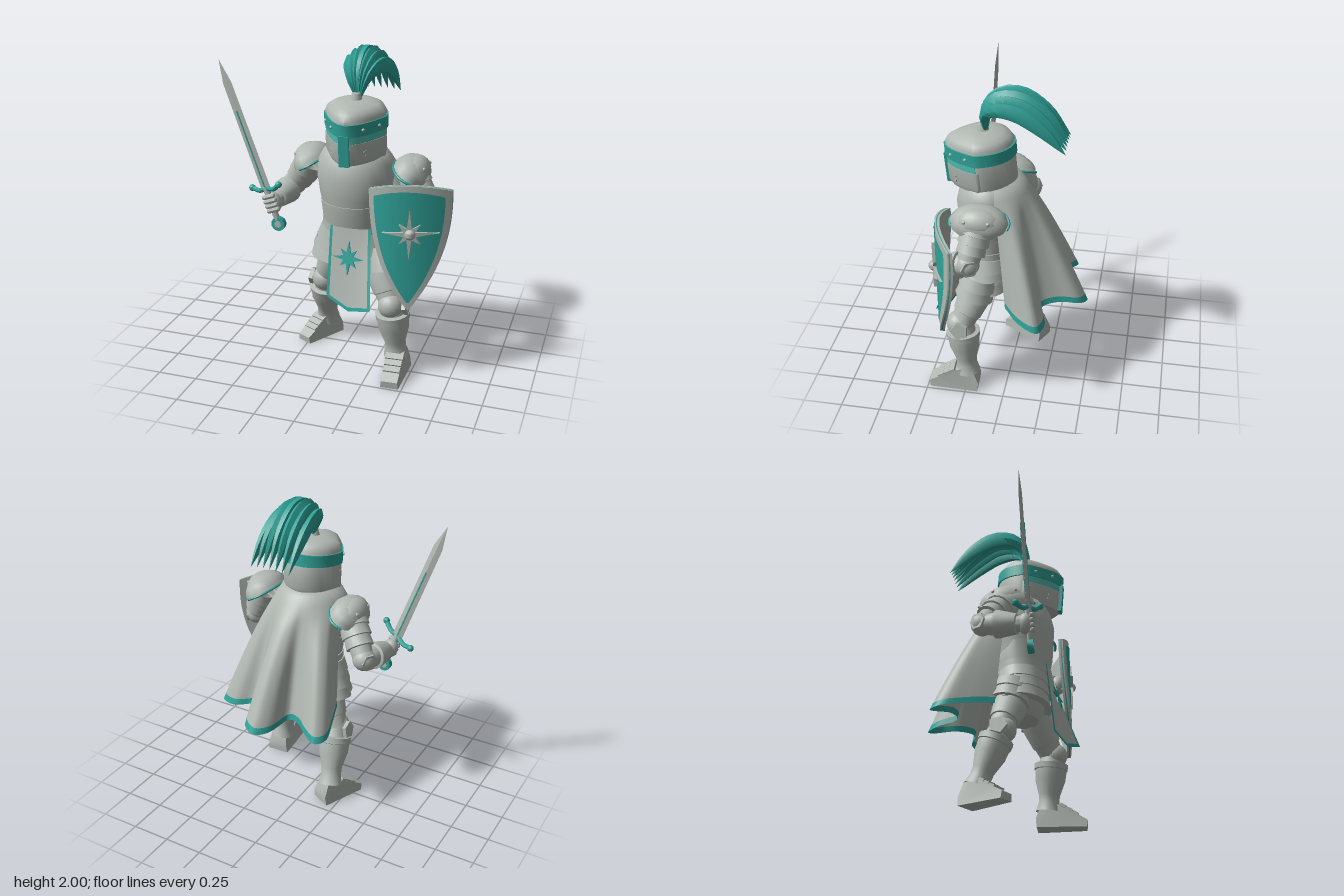
import * as THREE from 'three';
import { toCreasedNormals } from 'three/addons/utils/BufferGeometryUtils.js';
import { ParametricGeometry } from 'three/addons/geometries/ParametricGeometry.js';

function material(name, color) {
  const m = new THREE.MeshStandardMaterial({ color, side: THREE.DoubleSide });
  m.name = name;
  return m;
}
const steel = material('steel grey', 0xb1b8b2);
const teal = material('teal', 0x2fa298);
const lightTeal = material('light teal', 0x52bcae);

const V = (x, y, z) => new THREE.Vector3(x, y, z);
const lerp = THREE.MathUtils.lerp;
const UP = V(0, 1, 0);

function add(parent, name, geo, mat, pos = [0, 0, 0], rot = [0, 0, 0], scale = [1, 1, 1]) {
  const m = new THREE.Mesh(toCreasedNormals(geo, 0.7), mat);
  m.name = name;
  m.position.set(...pos); m.rotation.set(...rot); m.scale.set(...scale);
  parent.add(m);
  return m;
}
function group(parent, name, pos = [0, 0, 0], rot = [0, 0, 0]) {
  const g = new THREE.Group();
  g.name = name;
  g.position.set(...pos); g.rotation.set(...rot);
  parent.add(g);
  return g;
}
const box = (x, y, z) => new THREE.BoxGeometry(x, y, z);
const ball = r => new THREE.SphereGeometry(r, 16, 12);
const sheet = (fn, nu, nv) => new ParametricGeometry((u, v, t) => t.copy(fn(u, v)), nu, nv);

// Closed oval body from rings [y, half width, front depth, back depth]; wedge gives a pointed front
function loft(rings, wedge = false) {
  const first = rings[0], last = rings[rings.length - 1];
  const all = [[first[0], 0, 0, 0], ...rings, [last[0], 0, 0, 0]];
  return sheet((u, v) => {
    const [y, rx, rf, rb = rf] = all[Math.round(v * (all.length - 1))];
    const a = -u * Math.PI * 2, c = Math.cos(a), s = Math.sin(a);
    const z = s < 0 ? s * rb : (wedge ? 1 - Math.abs(c) ** 1.85 : s) * rf;
    return V(c * rx, y, z);
  }, 32, all.length - 1);
}
// Turned part between two points, profile as [fraction of length, radius]
function limb(parent, name, a, b, profile) {
  const A = V(...a), d = V(...b).sub(A), L = d.length();
  const m = add(parent, name, new THREE.LatheGeometry(profile.map(([t, r]) => new THREE.Vector2(r, t * L)), 18), steel, a);
  m.quaternion.setFromUnitVectors(UP, d.normalize());
}
function starGeometry(R, r, inner, depth) {
  const s = new THREE.Shape();
  for (let i = 0; i < 16; i++) {
    const q = i % 2 ? inner : i % 4 ? r : R, a = i * Math.PI / 8;
    s[i ? 'lineTo' : 'moveTo'](q * Math.cos(a), q * Math.sin(a));
  }
  return new THREE.ExtrudeGeometry(s, { depth, bevelEnabled: false });
}

function buildHelmet(root) {
  const g = group(root, 'helmet', [0.11, 1.508, 0.187], [0.09, 0, 0]);
  add(g, 'helmetShell', loft([[-0.125, 0.178, 0.195, 0.195], [-0.1, 0.185, 0.208], [0.14, 0.185, 0.208],
    [0.172, 0.17, 0.185], [0.192, 0.14, 0.145], [0.206, 0.07, 0.08]], true), steel);
  add(g, 'helmetBand', loft([[0.05, 0.194, 0.219, 0.218], [0.125, 0.194, 0.219, 0.218]], true), teal);
  add(g, 'eyeSlit', loft([[0.005, 0.187, 0.211, 0.01], [0.05, 0.187, 0.211, 0.01]], true), lightTeal);
  add(g, 'lowerVisor', loft([[-0.13, 0.178, 0.2, 0.08], [-0.1, 0.19, 0.213, 0.08], [0.005, 0.19, 0.213, 0.08]], true), steel);
  add(g, 'noseStrip', box(0.062, 0.19, 0.026), teal, [-0.005, -0.035, 0.209]);
  for (const s of [-1, 1]) {
    for (const [c, z] of [[0.5, 0.158], [0.85, 0.057]]) add(g, 'bandRivet', ball(0.01), steel, [s * c * 0.194, 0.088, z]);
    for (const y of [-0.05, -0.08]) add(g, 'breathHole', box(0.02, 0.01, 0.008), steel, [s * 0.1, y, 0.146], [0, s * 0.7, 0]);
  }
  add(g, 'plumeSocket', new THREE.CylinderGeometry(0.025, 0.04, 0.05, 12), steel, [0, 0.218, -0.03]);
}

// Seven faceted strands fanning out from the socket and pointed at the tips
function buildPlume(root) {
  const g = group(root, 'plume');
  const path = [[0.158, 1.73, 0.12, 0], [0.15, 1.86, 0.45, 0.02], [0.075, 1.94, 0.7, 0.05], [-0.05, 1.95, 0.86, 0.07], [-0.2, 1.85, 0.96, 0.06], [-0.33, 1.67, 1, 0.01]];
  const N = 16, R = 6;
  for (let i = -3; i <= 3; i++) {
    const u = i / 3;
    const curve = new THREE.CatmullRomCurve3(path.map(([z, y, w, drop]) => V(0.117 + u * 0.128 * w, y - drop * u * u, z)));
    const geo = new THREE.TubeGeometry(curve, N, 1, R), p = geo.attributes.position, v = V(0, 0, 0);
    for (let k = 0; k < p.count; k++) {
      const t = Math.floor(k / (R + 1)) / N, c = curve.getPointAt(t);
      const r = Math.max(0.0005, t < 0.45 ? lerp(0.014, 0.05, Math.sin(t / 0.45 * Math.PI / 2)) : 0.05 * (1 - ((t - 0.45) / 0.55) ** 2.4));
      v.fromBufferAttribute(p, k).sub(c).multiplyScalar(r);
      p.setXYZ(k, c.x + v.x * 0.6, c.y + v.y, c.z + v.z);
    }
    add(g, 'plumeStrand', geo, teal);
  }
}

function buildTorso(root) {
  const g = group(root, 'torso', [0.095, 0, 0.13]);
  add(g, 'breastplate', loft([[0.93, 0.19, 0.165, 0.14], [1.02, 0.195, 0.185, 0.15], [1.12, 0.22, 0.205, 0.17],
    [1.24, 0.238, 0.215, 0.18], [1.33, 0.232, 0.195, 0.17], [1.39, 0.2, 0.165, 0.15], [1.42, 0.14, 0.13, 0.12]]), steel);
  add(g, 'plackart', loft([[0.94, 0.2, 0.178, 0.145], [1.02, 0.207, 0.198, 0.155], [1.08, 0.215, 0.204, 0.1]]), steel);
  add(g, 'neckGuard', loft([[1.34, 0.17, 0.17], [1.43, 0.145, 0.14]]), steel);
  add(g, 'belt', loft([[0.9, 0.207, 0.175, 0.15], [0.955, 0.207, 0.175, 0.15]]), steel);
  for (let i = 0; i < 3; i++) {
    const y = 0.91 - i * 0.07, r = 0.225 + i * 0.018;
    add(g, 'fauldLame', loft([[y - 0.08, r + 0.022, 0.172 + i * 0.006, 0.16], [y, r - 0.01, 0.165, 0.145]]), steel);
  }
  add(g, 'pelvis', loft([[0.61, 0.13, 0.1], [0.68, 0.19, 0.14], [0.8, 0.2, 0.15]]), steel);
}

function buildTabard(root) {
  const g = group(root, 'tabard');
  const patch = (u0, u1, v0, v1) => sheet((a, b) => {
    const u = lerp(u0, u1, a), v = lerp(v0, v1, b);
    return V(lerp(0.115, 0.132, v) + u * lerp(0.128, 0.16, v), 0.95 - v * (0.46 + 0.05 * (1 - Math.abs(u))),
      lerp(0.318, 0.405 + 0.065 * u, v) - 0.02 * u * u * (1 - v));
  }, 8, 8);
  add(g, 'tabardCloth', patch(-0.87, 0.87, 0, 0.955), steel);
  add(g, 'tabardTrimRight', patch(-1, -0.87, 0, 1), teal);
  add(g, 'tabardTrimLeft', patch(0.87, 1, 0, 1), teal);
  add(g, 'tabardHem', patch(-0.87, 0.87, 0.955, 1), teal);
  add(g, 'tabardStar', starGeometry(0.105, 0.075, 0.036, 0.008), teal, [0.12, 0.77, 0.352], [-0.2, -0.16, 0]);
}

// Cape with three deep folds flaring towards the hem
function buildCape(root) {
  const g = group(root, 'cape');
  const hem = new THREE.CatmullRomCurve3([[0.4, 0], [0.52, -0.1], [0.57, -0.22], [0.46, -0.26], [0.34, -0.22], [0.28, -0.32], [0.25, -0.45],
    [0.17, -0.49], [0.09, -0.42], [0.04, -0.27], [-0.04, -0.29], [-0.12, -0.35], [-0.21, -0.39], [-0.26, -0.33], [-0.22, -0.17], [-0.16, 0]].map(([x, z]) => V(x, 0, z)));
  const at = (u, v) => {
    const h = hem.getPoint(u), a = lerp(-0.2, -Math.PI + 0.2, u), c = Math.cos(a), s = Math.sin(a);
    if (v < 0.12) {
      const k = v / 0.12, r = lerp(0.15, 0.235, k);
      return V(0.1 + c * r, 1.41 - 0.1 * k * k, 0.12 + s * r);
    }
    const k = (v - 0.12) / 0.88, f = k ** 0.84;
    return V(lerp(0.1 + c * 0.235, h.x, f), 1.31 - 0.69 * k + 0.02 * k * Math.cos(u * 19), lerp(0.12 + s * 0.235, h.z, f));
  };
  add(g, 'capeCloth', sheet((u, v) => at(u, v * 0.95), 64, 20), steel);
  add(g, 'capeHem', sheet((u, v) => at(u, 0.95 + v * 0.05), 64, 1), teal);
}

function buildShield(root) {
  const g = group(root, 'shield');
  const bend = x => 0.408 - 1.27 * (x - 0.39) ** 2;
  const at = (u, v, inset, off) => {
    const w = Math.max(0, 0.235 * (1 - v ** 2.4) - inset), x = 0.488 + u * w + 0.017 * v;
    return V(x, 1.285 - 0.79 * v - 0.045 * u * u * (1 - v), bend(x) + off);
  };
  for (const off of [0, -0.03]) add(g, off ? 'shieldBack' : 'shieldFront', sheet((u, v) => at(2 * u - 1, v, 0, off), 14, 18), steel);
  // Rim in three layers, the middle one coloured
  for (const [mat, from, to] of [[steel, 0, -0.009], [teal, -0.009, -0.016], [steel, -0.016, -0.03]]) {
    add(g, 'shieldRim', sheet((u, v) => {
      const s = u * 3, o = lerp(from, to, v);
      return s < 1 ? at(-1, 1 - s, 0, o) : s < 2 ? at(2 * s - 3, 0, 0, o) : at(1, s - 2, 0, o);
    }, 54, 1), mat);
  }
  add(g, 'shieldField', sheet((u, v) => at(2 * u - 1, 0.045 + 0.885 * v, 0.033, 0.005), 14, 18), teal);
  // Star bent to follow the curve of the shield
  const star = starGeometry(0.16, 0.085, 0.036, 0.024).translate(0.508, 0.995, 0), p = star.attributes.position;
  for (let i = 0; i < p.count; i++) p.setZ(i, p.getZ(i) + bend(p.getX(i)));
  add(g, 'shieldStar', star, steel);
  add(g, 'shieldBoss', ball(0.034), steel, [0.51, 0.995, 0.405]);
}

function buildSword(root) {
  const g = group(root, 'sword', [-0.45, 1.12, 0.25]);
  g.quaternion.setFromUnitVectors(UP, V(-0.342, 0.94, -0.01).normalize());
  const p = [[0.036, 0], [0.032, 0.69], [0, 0.84]].map(q => new THREE.Vector2(...q));
  add(g, 'blade', new THREE.LatheGeometry(p, 4), steel, [0, 0, 0], [0, -0.2, 0], [1, 1, 0.35]);
  for (const s of [-1, 1]) add(g, 'bladeInlay', box(0.008, 0.5, 0.006), teal, [0, 0.26, s * 0.011], [0, -0.2, 0]);
  add(g, 'grip', new THREE.CylinderGeometry(0.02, 0.02, 0.22, 10), steel, [0, -0.1, 0]);
  add(g, 'pommel', new THREE.CylinderGeometry(0.044, 0.044, 0.035, 16), teal, [0, -0.236, 0], [Math.PI / 2, 0, 0]);
  add(g, 'pommelDisc', new THREE.CylinderGeometry(0.022, 0.022, 0.043, 12), steel, [0, -0.236, 0], [Math.PI / 2, 0, 0]);
  const guard = new THREE.CatmullRomCurve3([V(-0.12, 0.015, -0.06), V(-0.06, -0.01, -0.03), V(0, 0, 0), V(0.06, -0.01, 0.03), V(0.12, 0.015, 0.06)]);
  add(g, 'crossGuard', new THREE.TubeGeometry(guard, 16, 0.015, 8), teal);
  for (const s of [-1, 1]) add(g, 'guardEnd', ball(0.021), teal, [s * 0.12, 0.015, s * 0.06]);
}

// side: -1 for the model's right, 1 for its left
function buildArm(root, side, shoulder, elbow, hand) {
  const g = group(root, side < 0 ? 'rightArm' : 'leftArm');
  limb(g, 'upperArm', shoulder, elbow, [[0, 0.09], [0.3, 0.1], [0.31, 0.09], [0.52, 0.095], [0.53, 0.083], [0.74, 0.088], [0.75, 0.07], [1, 0.065]]);
  add(g, 'elbowCap', ball(0.072), steel, elbow);
  add(g, 'elbowWing', new THREE.CylinderGeometry(0.055, 0.055, 0.025, 6), steel, [elbow[0] + side * 0.045, elbow[1], elbow[2] - 0.02], [0, side * 0.5, Math.PI / 2]);
  limb(g, 'forearm', elbow, hand, [[0, 0.06], [0.3, 0.07], [0.32, 0.086], [0.38, 0.086], [0.8, 0.062], [0.82, 0.05], [1, 0.045]]);
  const h = group(g, 'gauntlet', hand, [0, 0, side < 0 ? 0.35 : 0]);
  add(h, 'palm', ball(0.055), steel, [0, 0, 0], [0, 0, 0], [0.95, 1.2, 0.9]);
  for (let i = 0; i < 4; i++) add(h, 'finger', new THREE.CapsuleGeometry(0.016, 0.06, 4, 8), steel, [0, 0.048 - i * 0.03, 0.04], [0, 0, Math.PI / 2]);

  // Shoulder plates, trimmed along the edge nearest the neck
  const s = group(g, 'pauldron', [shoulder[0] - side * 0.005, shoulder[1] - 0.01, shoulder[2]], [0, 0, -side * 0.5]);
  const dome = r => new THREE.SphereGeometry(r, 12, 6, 0, Math.PI * 2, 0, Math.PI / 2);
  add(s, 'pauldronDome', dome(1), steel, [0, 0, 0], [0, 0, 0], [0.118, 0.112, 0.175]);
  add(s, 'pauldronPlate', dome(1), steel, [side * 0.012, 0.035, 0], [0, 0, 0], [0.088, 0.086, 0.135]);
  const trim = new THREE.TorusGeometry(1, 0.05, 6, 22, Math.PI * 1.2).rotateZ((side > 0 ? Math.PI : 0) - Math.PI * 0.6);
  add(s, 'pauldronTrim', trim, teal, [0, 0, 0], [Math.PI / 2, 0, 0], [0.118, 0.175, 0.15]);
  for (const z of [-0.07, 0.07]) add(s, 'pauldronRivet', ball(0.012), steel, [side * 0.055, 0.09, z]);
}

function buildLeg(root, side, hip, knee, ankle, foot, yaw, size) {
  const g = group(root, side < 0 ? 'rightLeg' : 'leftLeg');
  limb(g, 'thigh', hip, knee, [[0, 0.1], [0.4, 0.104], [0.75, 0.09], [0.76, 0.082], [1, 0.072]]);
  const out = [hip[0] + side * 0.05, hip[1] + 0.06, hip[2]], low = [lerp(out[0], knee[0], 0.35), lerp(out[1], knee[1], 0.42), lerp(out[2], knee[2], 0.35)];
  limb(g, 'tasset', out, low, [[0, 0.105], [0.5, 0.12], [0.51, 0.11], [1, 0.122], [1, 0.1]]);
  add(g, 'kneeCap', ball(0.08), steel, [knee[0], knee[1], knee[2] + 0.02]);
  add(g, 'kneeWing', new THREE.CylinderGeometry(0.058, 0.058, 0.025, 5), steel, [knee[0] + side * 0.088, knee[1], knee[2]], [0, 0, Math.PI / 2 + side * 0.15]);
  limb(g, 'greave', ankle, knee, [[-0.12, 0.08], [0.06, 0.065], [0.2, 0.067], [0.5, 0.096], [0.7, 0.1], [0.71, 0.106], [0.82, 0.108], [0.83, 0.08], [1, 0.07]]);

  // Armoured shoe, narrowing towards the toe
  const f = group(g, 'shoe', foot, [0, yaw, 0]);
  f.scale.setScalar(size);
  const pts = [[-0.15, 0], [0.16, 0], [0.165, 0.045], [0.09, 0.09], [0.02, 0.135], [-0.04, 0.155], [-0.12, 0.145], [-0.155, 0.06]];
  const geo = new THREE.ExtrudeGeometry(new THREE.Shape(pts.map(q => new THREE.Vector2(...q))), { depth: 0.15, bevelEnabled: false });
  geo.translate(0, 0, -0.075).rotateY(-Math.PI / 2);
  const p = geo.attributes.position;
  for (let i = 0; i < p.count; i++) p.setX(i, p.getX(i) * (1 - Math.max(0, p.getZ(i)) * 1.6) * (1 - p.getY(i) * 2));
  add(f, 'sabaton', geo, steel);
  for (let i = 0; i < 3; i++) add(f, 'sabatonLame', box(0.112 - i * 0.004, 0.02, 0.04), steel, [0, 0.139 - i * 0.024, 0.015 + i * 0.037], [0.5, 0, 0]);
}

export function createModel() {
  const root = new THREE.Group();
  root.name = 'knight';
  [buildHelmet, buildPlume, buildTorso, buildTabard, buildCape, buildShield, buildSword].forEach(build => build(root));
  buildArm(root, -1, [-0.2, 1.29, 0.08], [-0.365, 1.07, -0.04], [-0.41, 1.03, 0.23]);
  buildArm(root, 1, [0.45, 1.29, 0.14], [0.56, 1.06, 0.19], [0.51, 1.02, 0.32]);
  buildLeg(root, -1, [-0.01, 0.74, 0.1], [-0.14, 0.47, 0.03], [-0.17, 0.15, -0.09], [-0.205, 0, -0.05], -0.47, 0.95);
  buildLeg(root, 1, [0.25, 0.74, 0.17], [0.375, 0.47, 0.28], [0.4, 0.15, 0.25], [0.415, 0, 0.325], 0.05, 1);
  return root;
}
